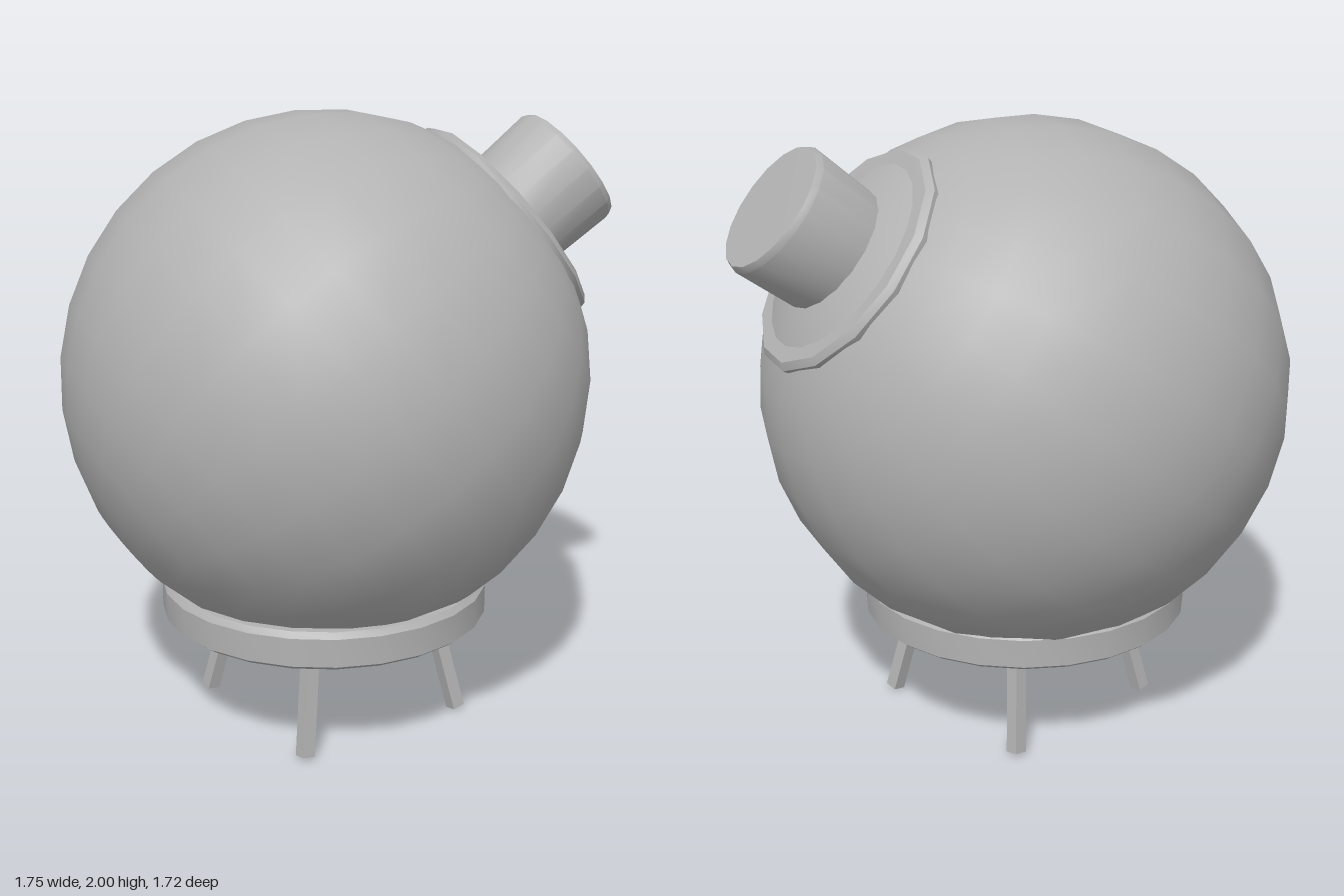
import * as THREE from 'three';
import { toCreasedNormals } from 'three/addons/utils/BufferGeometryUtils.js';

export function createModel() {
  const model = new THREE.Group();
  const grey = new THREE.MeshStandardMaterial({ color: 0xb2b2b2 });
  grey.name = 'grey';

  const add = (parent, name, geometry) => {
    const mesh = new THREE.Mesh(geometry, grey);
    mesh.name = name;
    parent.add(mesh);
    return mesh;
  };
  // Turned part from [radius, height] pairs, with sharp rims
  const turned = (profile, sides) => toCreasedNormals(
    new THREE.LatheGeometry(profile.map(([r, y]) => new THREE.Vector2(r, y)), sides), 0.5);

  const up = new THREE.Vector3(0, 1, 0);
  const axis = new THREE.Vector3(0.70, 0.62, -0.37).normalize();

  // Round vessel, its poles in line with the tilted neck
  const vessel = new THREE.Group();
  vessel.name = 'vessel';
  vessel.position.set(-0.025, 1.148, 0);
  vessel.quaternion.setFromUnitVectors(up, axis);
  model.add(vessel);
  add(vessel, 'body', new THREE.SphereGeometry(0.862, 22, 16));

  // Flange and stopper on the neck
  add(vessel, 'flange', turned(
    [[0.3, 0.75], [0.39, 0.755], [0.395, 0.78], [0.375, 0.798], [0, 0.802]], 14));
  add(vessel, 'stopper', turned(
    [[0.207, 0.79], [0.218, 1.05], [0.208, 1.07], [0, 1.074]], 18));

  // Shallow dish that holds the vessel
  const dish = add(model, 'dish', turned(
    [[0, 0.29], [0.16, 0.295], [0.32, 0.312], [0.45, 0.333], [0.525, 0.35],
      [0.545, 0.365], [0.545, 0.458], [0.53, 0.477], [0.5, 0.477], [0.46, 0.43]], 24));
  dish.position.set(-0.025, 0, 0.03);

  // Four splayed square legs
  for (let i = 0; i < 4; i++) {
    const a = i * Math.PI / 2;
    const out = new THREE.Vector3(Math.cos(a), 0, Math.sin(a));
    const top = out.clone().multiplyScalar(0.345).setY(0.33);
    const foot = out.clone().multiplyScalar(0.43).setY(0.01);
    const along = top.clone().sub(foot);
    const geometry = new THREE.BoxGeometry(0.044, along.length(), 0.044);
    geometry.rotateY(Math.PI / 4);
    const leg = add(model, 'leg' + (i + 1), geometry);
    leg.position.copy(top).add(foot).multiplyScalar(0.5);
    leg.position.x += 0;
    leg.position.z += 0.03 + 0.02 * Math.abs(out.z) * out.z;
    leg.quaternion.setFromUnitVectors(up, along.normalize());
  }
  return model;
}
